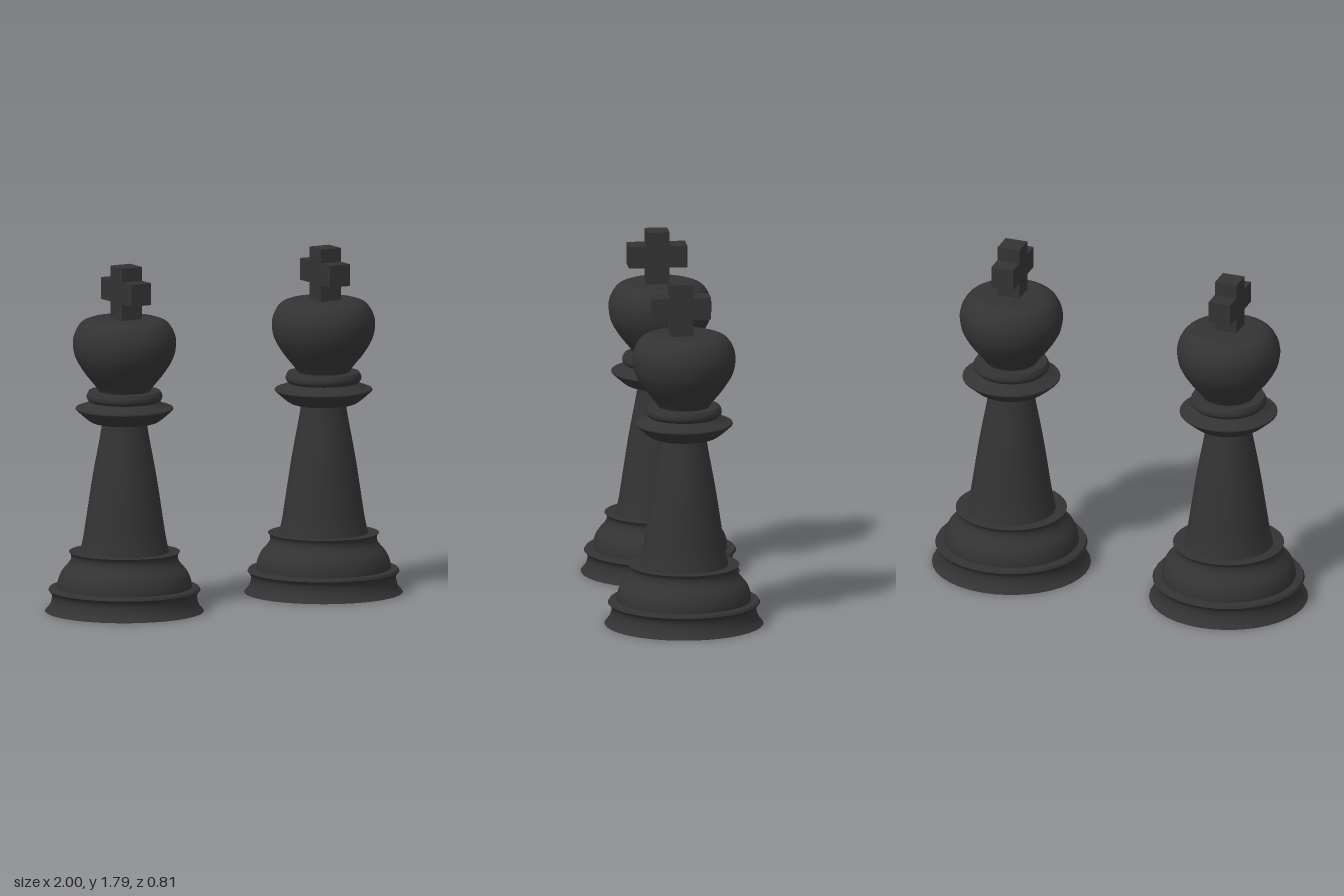
import * as THREE from 'three';

const SEGMENTS = 36;
const material = new THREE.MeshStandardMaterial({ color: 0x333333, roughness: 0.8 });

// Turned part: each section is a list of [radius, y]; edges between sections stay sharp.
function turned(name, sections) {
  const part = new THREE.Group();
  part.name = name;
  sections.forEach((section, i) => {
    let points = section.map(([r, y]) => new THREE.Vector2(r, y));
    if (points.length > 2) points = new THREE.SplineCurve(points).getPoints(points.length * 3);
    const mesh = new THREE.Mesh(new THREE.LatheGeometry(points, SEGMENTS), material);
    mesh.name = `${name}Section${i + 1}`;
    part.add(mesh);
  });
  return part;
}

// Cross with arms along z, extruded along x
function createCross() {
  const w = 0.059, arm = 0.15, bottom = 1.5, low = 1.602, high = 1.715, top = 1.787;
  const outline = [
    [-w, bottom], [w, bottom], [w, low], [arm, low], [arm, high], [w, high],
    [w, top], [-w, top], [-w, high], [-arm, high], [-arm, low], [-w, low],
  ].map(([x, y]) => new THREE.Vector2(x, y));
  const geometry = new THREE.ExtrudeGeometry(new THREE.Shape(outline), { depth: 2 * w, bevelEnabled: false });
  geometry.translate(0, 0, -w).rotateY(Math.PI / 2);
  const cross = new THREE.Mesh(geometry, material);
  cross.name = 'cross';
  cross.position.z = 0.016;
  return cross;
}

function createPiece(name) {
  const piece = new THREE.Group();
  piece.name = name;
  piece.add(
    // Stepped foot with a flared lip on top
    turned('base', [
      [[0, 0], [0.407, 0]],
      [[0.407, 0], [0.385, 0.027], [0.373, 0.06], [0.374, 0.09], [0.39, 0.11]],
      [[0.39, 0.11], [0.383, 0.122]],
      [[0.383, 0.122], [0.345, 0.124]],
      [[0.345, 0.124], [0.342, 0.155], [0.325, 0.2], [0.292, 0.24], [0.276, 0.265], [0.273, 0.29], [0.285, 0.308]],
      [[0.285, 0.308], [0, 0.308]],
    ]),
    // Tapering column
    turned('column', [
      [[0.23, 0.3], [0.212, 0.38], [0.198, 0.47], [0.163, 0.7], [0.128, 0.89], [0.113, 0.98]],
    ]),
    // Wide collar and the ring above it
    turned('collar', [
      [[0, 0.972], [0.133, 0.972]],
      [[0.133, 0.972], [0.17, 0.98], [0.205, 1.005], [0.25, 1.045]],
      [[0.25, 1.045], [0.247, 1.055], [0.215, 1.064], [0.178, 1.085]],
      [[0.178, 1.085], [0.192, 1.1], [0.193, 1.12], [0.183, 1.14]],
      [[0.183, 1.14], [0, 1.14]],
    ]),
    // Bulbous head
    turned('head', [
      [[0.127, 1.13], [0.15, 1.167], [0.205, 1.235], [0.25, 1.31], [0.264, 1.375], [0.261, 1.42],
        [0.243, 1.465], [0.215, 1.498], [0.175, 1.514]],
      [[0.175, 1.514], [0, 1.518]],
    ]),
    createCross(),
  );
  return piece;
}

export function createModel() {
  const model = new THREE.Group();
  model.name = 'chessKings';
  for (const [name, side] of [['leftKing', 1], ['rightKing', -1]]) {
    const piece = createPiece(name);
    piece.position.x = side * 0.593;
    model.add(piece);
  }
  return model;
}
